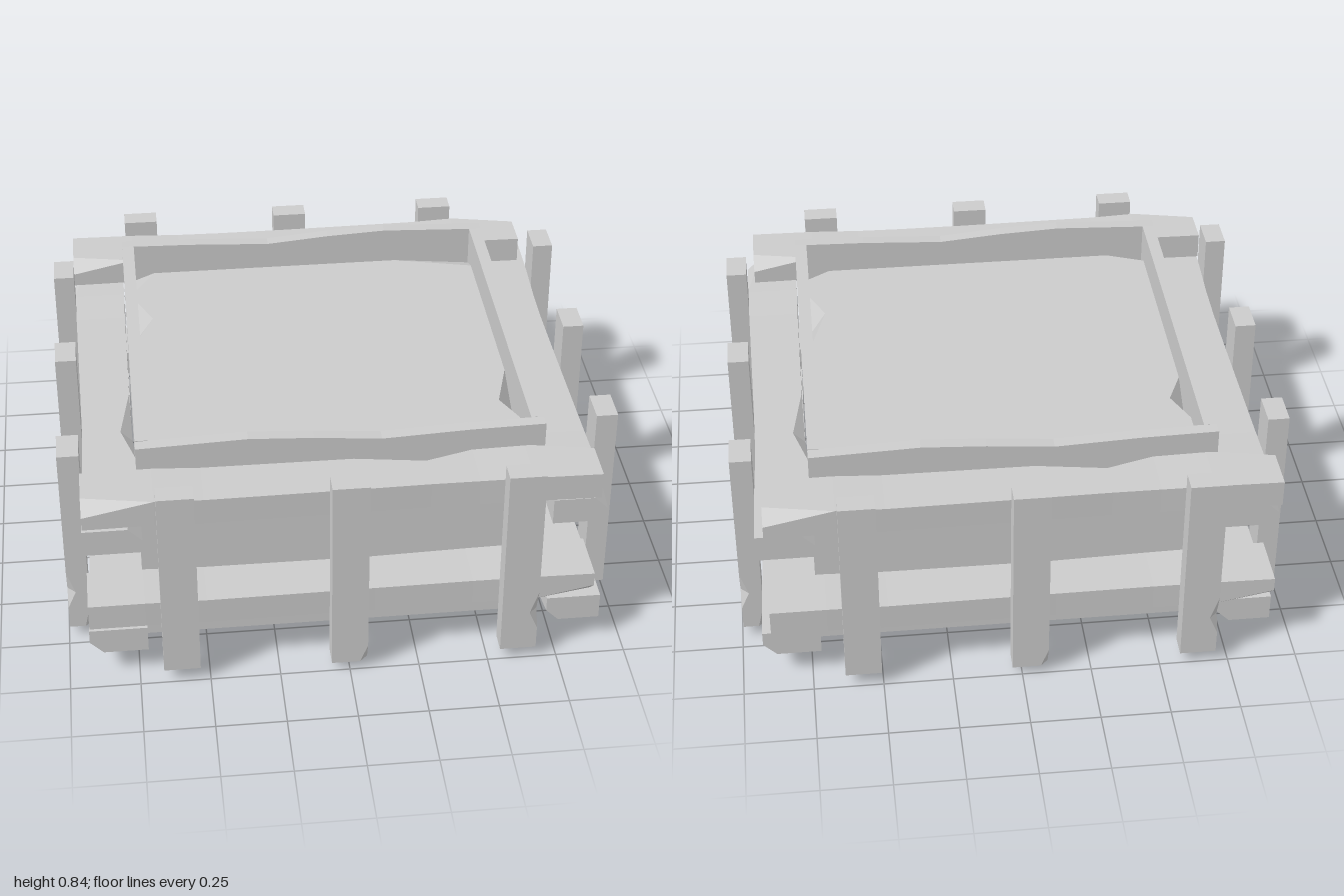
import * as THREE from 'three';

const material = new THREE.MeshStandardMaterial({ color: 0xcccccc, flatShading: true });
const thinMaterial = new THREE.MeshStandardMaterial({ color: 0xcccccc, flatShading: true, side: THREE.DoubleSide });

function geometryFrom(triangles) {
  const geometry = new THREE.BufferGeometry().setFromPoints(triangles);
  geometry.computeVertexNormals();
  return geometry;
}

// Rectangular section with chipped corners: top outer, bottom outer, bottom inner, top inner
function section(x, [y0, y1], [z0, z1], [a, b, c, d] = [0, 0, 0, 0]) {
  return [
    [y1, z1 - a], [y1 - a, z1], [y0 + b, z1], [y0, z1 - b],
    [y0, z0 + c], [y0 + c, z0], [y1 - d, z0], [y1, z0 + d],
  ].map(([y, z]) => new THREE.Vector3(x, y, z));
}

// Plank skinned over sections along x, closed at both ends
function plank(sections) {
  const triangles = [];
  const add = (a, b, c) => {
    if (new THREE.Triangle(a, b, c).getArea() > 1e-7) triangles.push(a, b, c);
  };
  for (let i = 0; i < sections.length - 1; i++) {
    const s = sections[i], t = sections[i + 1];
    for (let j = 0; j < 8; j++) {
      const k = (j + 1) % 8;
      add(s[j], s[k], t[k]);
      add(s[j], t[k], t[j]);
    }
  }
  const first = sections[0], last = sections[sections.length - 1];
  for (let j = 1; j < 7; j++) {
    add(first[0], first[j + 1], first[j]);
    add(last[0], last[j], last[j + 1]);
  }
  return geometryFrom(triangles);
}

function addMesh(parent, name, geometry, mat = material) {
  const mesh = new THREE.Mesh(geometry, mat);
  mesh.name = name;
  parent.add(mesh);
  return mesh;
}

// Horizontal rail: x, y wobble, inner z, outer z, chips
function rail(y, upper) {
  const stations = upper ? [
    [-0.92, 0, 0.725, 0.92, [0.05, 0, 0, 0]],
    [-0.67, 0.002, 0.725, 0.92],
    [-0.5, -0.005, 0.728, 0.918],
    [0.04, -0.006, 0.73, 0.912],
    [0.29, -0.005, 0.728, 0.91, [0, 0, 0, 0.042]],
    [0.46, -0.004, 0.722, 0.912],
    [0.65, 0, 0.718, 0.918],
    [0.89, 0, 0.715, 0.922, [0, 0, 0, 0.05]],
  ] : [
    [-0.92, 0, 0.725, 0.92, [0, 0, 0.045, 0]],
    [-0.72, 0, 0.725, 0.92],
    [-0.5, -0.005, 0.728, 0.918],
    [0.1, -0.006, 0.73, 0.912],
    [0.45, -0.004, 0.722, 0.912],
    [0.67, 0, 0.718, 0.918],
    [0.89, 0, 0.715, 0.922, [0, 0.048, 0, 0]],
  ];
  return plank(stations.map(([x, dy, z0, z1, chips]) =>
    section(x, [y + dy, y + 0.1 + dy], [z0, z1], chips)));
}

// Upright post: chips run left outer, right outer, right inner, left inner
const postStyles = [
  { x: -0.6, bottom: 0.05, stations: [[0.45], [0.8]] },
  { x: 0, bottom: 0.03, foot: [0, 0.028, 0, 0], stations: [[0.1], [0.45], [0.8]] },
  { x: 0.61, bottom: 0.04, foot: [0, 0, 0.02, 0], stations: [[0.13], [0.2, [0, 0.03, 0, 0]], [0.29], [0.8]] },
];
function post({ x, bottom, foot, stations }) {
  const levels = [[bottom, foot], ...stations];
  return plank(levels.map(([y, chips]) =>
    section(y, [-x - 0.065, -x + 0.065], [0.918, 0.995], chips))).rotateZ(Math.PI / 2);
}

// Soil sheet whose edge is broken by small sunken chips
function soilGeometry() {
  const y = 0.7, r = 0.677;
  // start, inner tip (null at corners), end, low point, depth
  const chips = [
    { a: [-r, -0.55], b: [-0.6, -r], low: [-r, -r], depth: 0.03 },
    { a: [0.37, -r], b: [r, -0.6], low: [r, -r], depth: 0.03 },
    { a: [r, 0.17], tip: [0.62, 0.37], b: [r, 0.49], low: [r, 0.36], depth: 0.08 },
    { a: [r, 0.62], b: [0.59, r], low: [r, r], depth: 0.06 },
    { a: [-0.53, r], b: [-r, 0.62], low: [-r, r], depth: 0.08 },
    { a: [-r, -0.2], tip: [-0.62, -0.33], b: [-r, -0.46], low: [-r, -0.33], depth: 0.08 },
  ];
  const outline = [], triangles = [];
  const at = ([x, z], drop = 0) => new THREE.Vector3(x, y - drop, z);
  for (const { a, tip, b, low, depth } of chips) {
    for (const p of [a, tip, b]) if (p) outline.push(new THREE.Vector2(p[0], -p[1]));
    if (tip) {
      triangles.push(at(a), at(low, depth), at(tip), at(low, depth), at(b), at(tip));
    } else {
      triangles.push(at(a), at(low, depth), at(b));
    }
  }
  const top = new THREE.ShapeGeometry(new THREE.Shape(outline)).rotateX(-Math.PI / 2).translate(0, y, 0);
  return { top, edge: geometryFrom(triangles) };
}

export function createModel() {
  const model = new THREE.Group();
  model.name = 'planter';

  // Inner box: floor and soil
  addMesh(model, 'floor', new THREE.BoxGeometry(1.36, 0.06, 1.36).translate(0, 0.03, 0));
  const soil = soilGeometry();
  addMesh(model, 'soil', soil.top, thinMaterial);
  addMesh(model, 'soilChips', soil.edge, thinMaterial);

  // Four sides, each a wall with two rails and three posts
  ['front', 'right', 'back', 'left'].forEach((name, i) => {
    const side = new THREE.Group();
    side.name = name + 'Side';
    side.rotation.y = i * Math.PI / 2;
    model.add(side);

    const wallTop = i % 2 === 0
      ? [[-0.722, 0.825], [-0.33, 0.84], [-0.1, 0.828], [0.14, 0.807], [0.45, 0.822], [0.722, 0.828]]
      : [[-0.676, 0.828], [0.676, 0.828]];
    addMesh(side, 'wall', plank(wallTop.map(([x, y]) => section(x, [0, y], [0.676, 0.722]))));

    const fence = new THREE.Group();
    fence.name = 'fence';
    fence.position.x = [0, 0.01, 0.03, 0.03][i];
    side.add(fence);
    const drop = i % 2 === 0 ? 0 : 0.11;
    addMesh(fence, 'upperRail', rail(0.64 - drop, true));
    addMesh(fence, 'lowerRail', rail(0.2 - drop, false));
    for (const style of postStyles) addMesh(fence, 'post', post(style));
  });

  return model;
}
